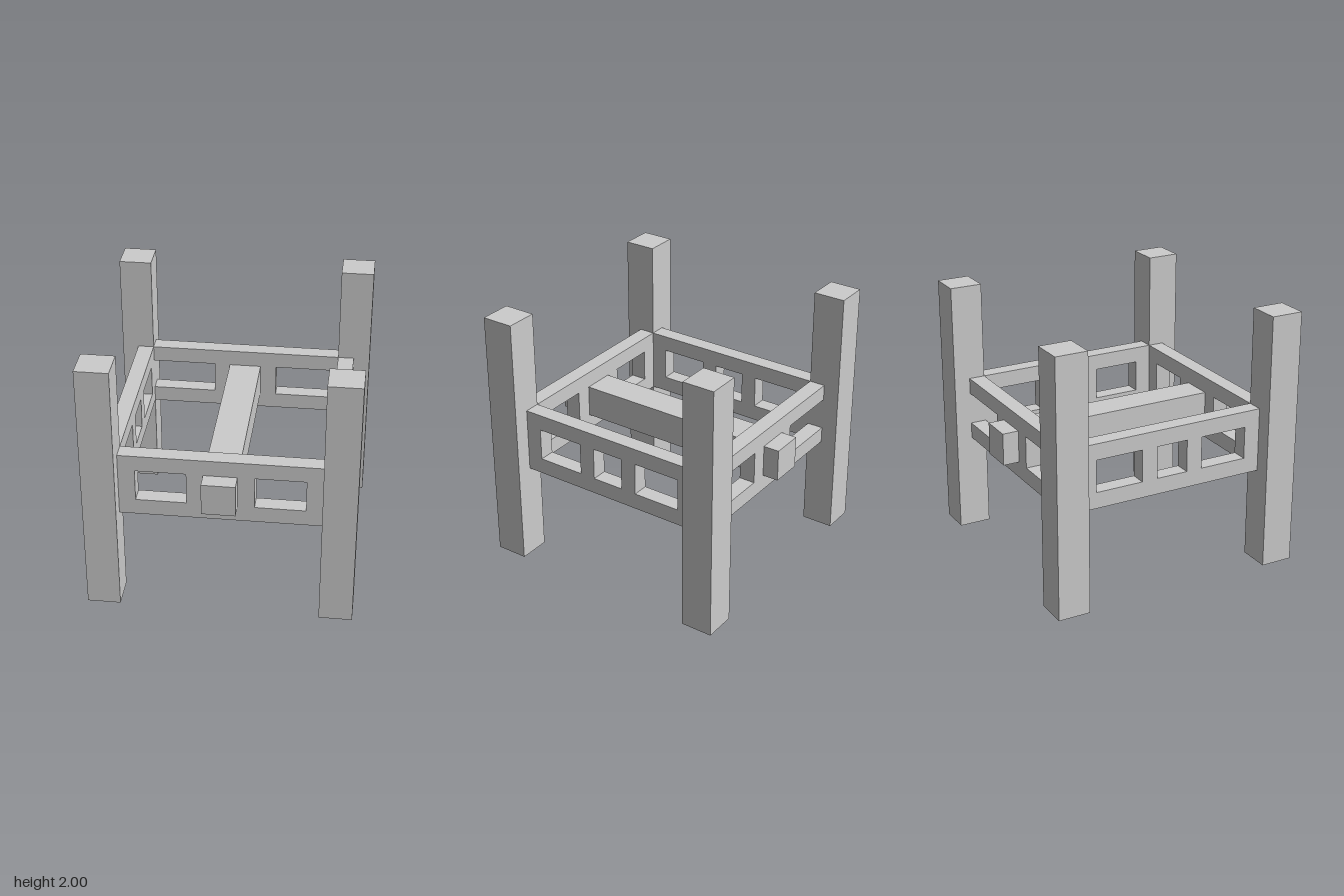
import * as THREE from 'three';

const material = new THREE.MeshStandardMaterial({ color: 0xcccccc, flatShading: true });
const RAIL_Y = 0.75, RAIL_H = 0.5, THICK = 0.125, HALF = 0.75;

function box(name, w, h, d, x, y, z) {
  const mesh = new THREE.Mesh(new THREE.BoxGeometry(w, h, d), material);
  mesh.name = name;
  mesh.position.set(x, y, z);
  return mesh;
}

function rect(path, x0, x1, y0, y1) {
  path.moveTo(x0, y0);
  path.lineTo(x1, y0);
  path.lineTo(x1, y1);
  path.lineTo(x0, y1);
  path.closePath();
  return path;
}

// Upright panel with rectangular openings, its outer face toward local +z
function panel(name, openings, angle) {
  const shape = rect(new THREE.Shape(), -HALF, HALF, RAIL_Y, RAIL_Y + RAIL_H);
  for (const [a, b] of openings) shape.holes.push(rect(new THREE.Path(), a, b, 0.875, 1.125));
  const geometry = new THREE.ExtrudeGeometry(shape, { depth: THICK, bevelEnabled: false });
  geometry.translate(0, 0, HALF);
  const mesh = new THREE.Mesh(geometry, material);
  mesh.name = name;
  mesh.rotation.y = angle;
  return mesh;
}

export function createModel() {
  const model = new THREE.Group();
  model.name = 'postFrame';

  // Four corner posts
  for (const [sideName, x] of [['Left', 0.875], ['Right', -0.875]])
    for (const [endName, z] of [['front', 0.875], ['back', -0.875]])
      model.add(box(`${endName}${sideName}Post`, 0.25, 2, 0.25, x, 1, z));

  // Front and side panels with window openings
  const outer = [[-0.625, -0.25], [0.25, 0.625]];
  const three = [...outer, [-0.125, 0.125]];
  model.add(panel('frontPanel', outer, 0));
  model.add(panel('leftPanel', three, Math.PI / 2));
  model.add(panel('rightPanel', three, -Math.PI / 2));

  // Back panel: two rails and a central block, open out to the posts
  const back = new THREE.Group();
  back.name = 'backPanel';
  const zBack = -HALF - THICK / 2;
  back.add(box('lowerRail', 1.5, 0.125, THICK, 0, 0.8125, zBack));
  back.add(box('upperRail', 1.5, 0.125, THICK, 0, 1.1875, zBack));
  for (const s of [-1, 1]) back.add(box('stile', 0.125, 0.25, THICK, s * 0.1875, 1, zBack));
  model.add(back);

  // Central beam running through the front and back panels
  model.add(box('centreBeam', 0.25, 0.25, 2, 0, 1, 0));

  return model;
}
